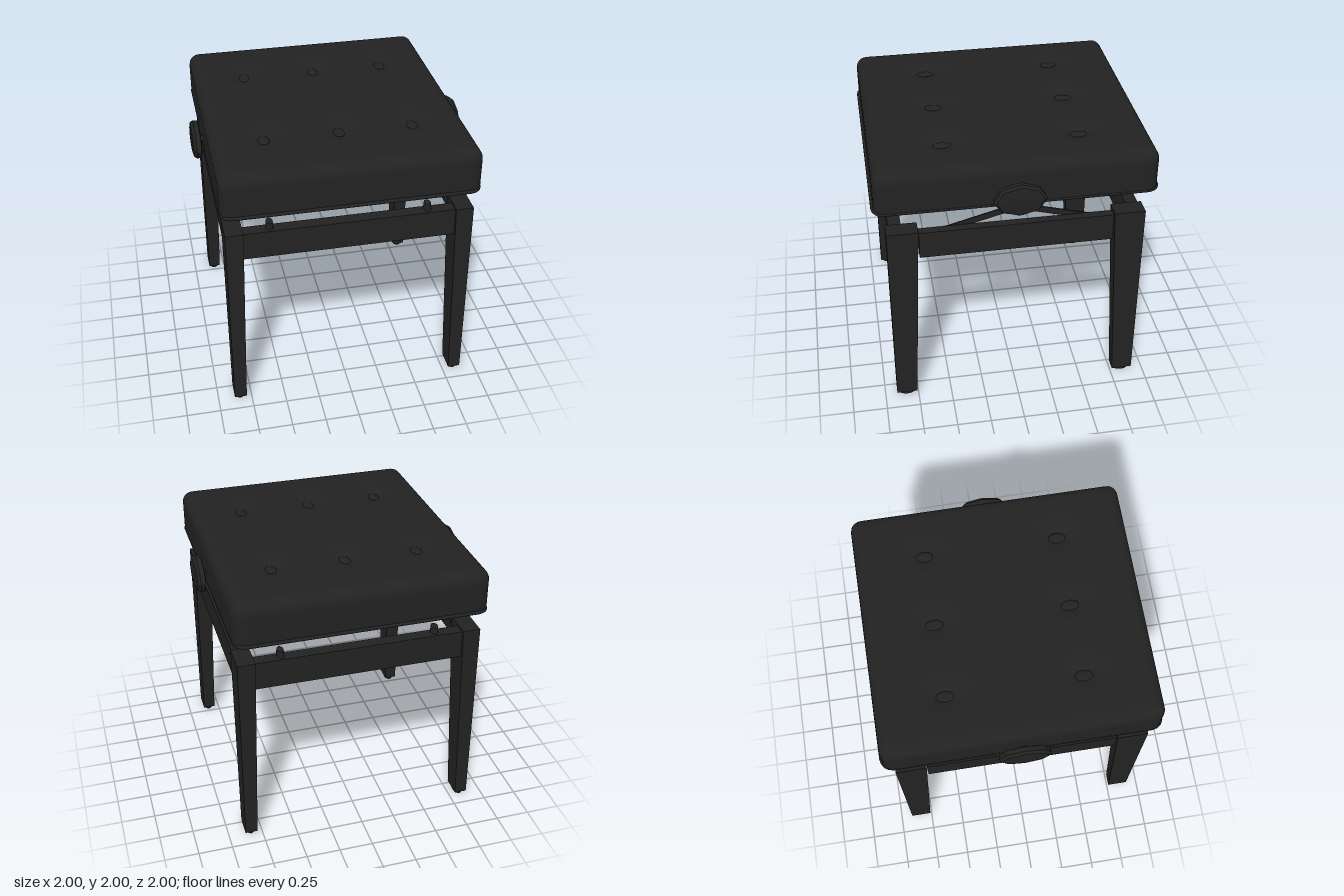
import * as THREE from 'three';
import { mergeVertices, toCreasedNormals } from 'three/addons/utils/BufferGeometryUtils.js';

const black = new THREE.MeshStandardMaterial({ color: 0x222222 });
const TUFTS = [];
for (const x of [-0.53, 0, 0.53]) for (const z of [-0.485, 0.475]) TUFTS.push([x, z]);

function add(parent, name, geometry, x = 0, y = 0, z = 0) {
  const mesh = new THREE.Mesh(geometry, black);
  mesh.name = name;
  mesh.position.set(x, y, z);
  parent.add(mesh);
  return mesh;
}
const box = (w, h, d) => new THREE.BoxGeometry(w, h, d);

// Padded seat: box with rounded top edges and corners, dimpled at each tuft
function cushionGeometry() {
  const hx = 0.907, hz = 0.983, bottom = 1.69, top = 1.997, r = 0.08;
  let g = new THREE.BoxGeometry(hx * 2, top - bottom, hz * 2, 68, 12, 72);
  g.translate(0, (top + bottom) / 2, 0);
  const p = g.attributes.position, v = new THREE.Vector3(), q = new THREE.Vector3();
  for (let i = 0; i < p.count; i++) {
    v.fromBufferAttribute(p, i);
    q.set(THREE.MathUtils.clamp(v.x, -hx + r, hx - r), Math.min(v.y, top - r),
      THREE.MathUtils.clamp(v.z, -hz + r, hz - r));
    const onBottom = v.y < bottom + 1e-4;
    const onShell = Math.abs(v.x) > hx - 1e-4 || Math.abs(v.z) > hz - 1e-4 || v.y > top - 1e-4;
    const d = v.clone().sub(q);
    if (onShell && d.lengthSq() > 0) v.copy(q).addScaledVector(d.normalize(), r);
    else if (onBottom && d.length() > r) v.copy(q).addScaledVector(d.normalize(), r);
    if (v.y > top - 0.02) {
      for (const [x, z] of TUFTS) {
        const e = ((v.x - x) / 0.085) ** 2 + ((v.z - z) / 0.11) ** 2;
        v.y -= 0.035 * Math.exp(-e);
      }
    }
    p.setXYZ(i, v.x, v.y, v.z);
  }
  g.deleteAttribute('normal');
  g.deleteAttribute('uv');
  g = mergeVertices(g, 1e-4);
  return toCreasedNormals(g, 0.8);
}

// Closed rounded-rectangle welt around the seat's lower edge
function weltGeometry(hx, hz, r, radius) {
  const pts = [];
  for (let c = 0; c < 4; c++) {
    const sx = c === 0 || c === 3 ? 1 : -1, sz = c < 2 ? 1 : -1;
    for (let k = 0; k <= 6; k++) {
      const a = (c + k / 6) * Math.PI / 2;
      pts.push(new THREE.Vector3(sx * (hx - r) + r * Math.cos(a), 0, sz * (hz - r) + r * Math.sin(a)));
    }
  }
  const path = new THREE.CurvePath();
  pts.forEach((a, i) => path.add(new THREE.LineCurve3(a, pts[(i + 1) % pts.length])));
  return new THREE.TubeGeometry(path, 240, radius, 8, true);
}

// Leg whose two outer faces stay upright while the inner faces taper
function legGeometry(sx, sz) {
  const g = box(1, 1, 1), p = g.attributes.position;
  for (let i = 0; i < p.count; i++) {
    const up = p.getY(i) > 0;
    const x = p.getX(i) * sx > 0 ? 0.88 : (up ? 0.752 : 0.79);
    const z = p.getZ(i) * sz > 0 ? 0.912 : (up ? 0.69 : 0.76);
    p.setXYZ(i, sx * x, up ? 1.505 : 0.03, sz * z);
  }
  g.computeVertexNormals();
  return g;
}

// Lobed hand knob, turned about its own axis
function knobGeometry() {
  const profile = [[0, 0], [0.1, 0], [0.116, 0.006], [0.118, 0.04], [0.105, 0.06], [0.08, 0.066], [0, 0.068]];
  let g = new THREE.LatheGeometry(profile.map(([a, b]) => new THREE.Vector2(a, b)), 48);
  const p = g.attributes.position;
  for (let i = 0; i < p.count; i++) {
    const x = p.getX(i), z = p.getZ(i);
    const s = 1 + 0.035 * Math.cos(8 * Math.atan2(z, x));
    p.setXYZ(i, x * s, p.getY(i), z * s);
  }
  g.deleteAttribute('uv');
  return toCreasedNormals(g, 0.6);
}

export function createModel() {
  const stool = new THREE.Group();
  stool.name = 'adjustableBench';

  // Upholstered seat
  const seat = new THREE.Group();
  seat.name = 'seat';
  stool.add(seat);
  add(seat, 'cushion', cushionGeometry());
  add(seat, 'welt', weltGeometry(0.898, 0.987, 0.08, 0.013), 0, 1.694, 0);
  add(seat, 'basePanel', box(1.68, 0.012, 1.8), 0, 1.686, 0);
  for (const [x, z] of TUFTS) {
    add(seat, 'tuftButton', new THREE.SphereGeometry(1, 20, 12), x, 1.967, z).scale.set(0.04, 0.016, 0.066);
  }

  // Legs with small feet
  for (const sx of [-1, 1]) for (const sz of [-1, 1]) {
    const leg = new THREE.Group();
    leg.name = 'leg';
    stool.add(leg);
    add(leg, 'legPost', legGeometry(sx, sz));
    const foot = new THREE.CylinderGeometry(0.04, 0.033, 0.032, 16);
    add(leg, 'foot', foot, sx * 0.835, 0.016, sz * 0.836).scale.z = 1.75;
  }

  // Apron rails and the rubber stops on them
  for (const s of [-1, 1]) {
    add(stool, 'crossRail', box(1.51, 0.208, 0.09), 0, 1.389, s * 0.845);
    add(stool, 'sideRail', box(0.06, 0.208, 1.376), s * 0.84, 1.389, 0);
    for (const x of [-0.562, 0.562]) {
      add(stool, 'stop', new THREE.CylinderGeometry(0.024, 0.027, 0.05, 16), x, 1.517, s * 0.83).scale.z = 1.6;
    }
  }

  // Scissor lift, knob and shaft on each side
  for (const s of [-1, 1]) {
    const lift = new THREE.Group();
    lift.name = 'scissorLift';
    stool.add(lift);
    add(lift, 'upperTrack', box(0.05, 0.014, 1.44), s * 0.79, 1.679, 0);
    for (const t of [-1, 1]) {
      // Each arm runs from inside the side rail up to the seat
      const a = new THREE.Vector2(0.62 * t, 1.422), b = new THREE.Vector2(-0.36 * t, 1.69);
      const d = b.clone().sub(a);
      const arm = add(lift, 'scissorArm', box(0.01, 0.046, d.length()),
        s * (0.79 + 0.005 * t), (a.y + b.y) / 2, (a.x + b.x) / 2);
      arm.rotation.x = -Math.atan2(d.y, d.x) + (d.x < 0 ? Math.PI : 0);
    }
    const pivot = add(lift, 'pivot', new THREE.CylinderGeometry(0.012, 0.012, 0.026, 12), s * 0.79, 1.594, 0);
    pivot.rotation.z = Math.PI / 2;

    const shaft = add(stool, 'shaft', new THREE.CylinderGeometry(0.02, 0.02, 0.06, 16), s * 0.915, 1.762, 0);
    shaft.rotation.z = Math.PI / 2;
    shaft.scale.z = 1.6;
    const knob = add(stool, 'knob', knobGeometry(), s * 0.931, 1.76, 0);
    knob.rotation.z = -s * Math.PI / 2;
    knob.scale.z = 1.5;
  }
  return stool;
}
